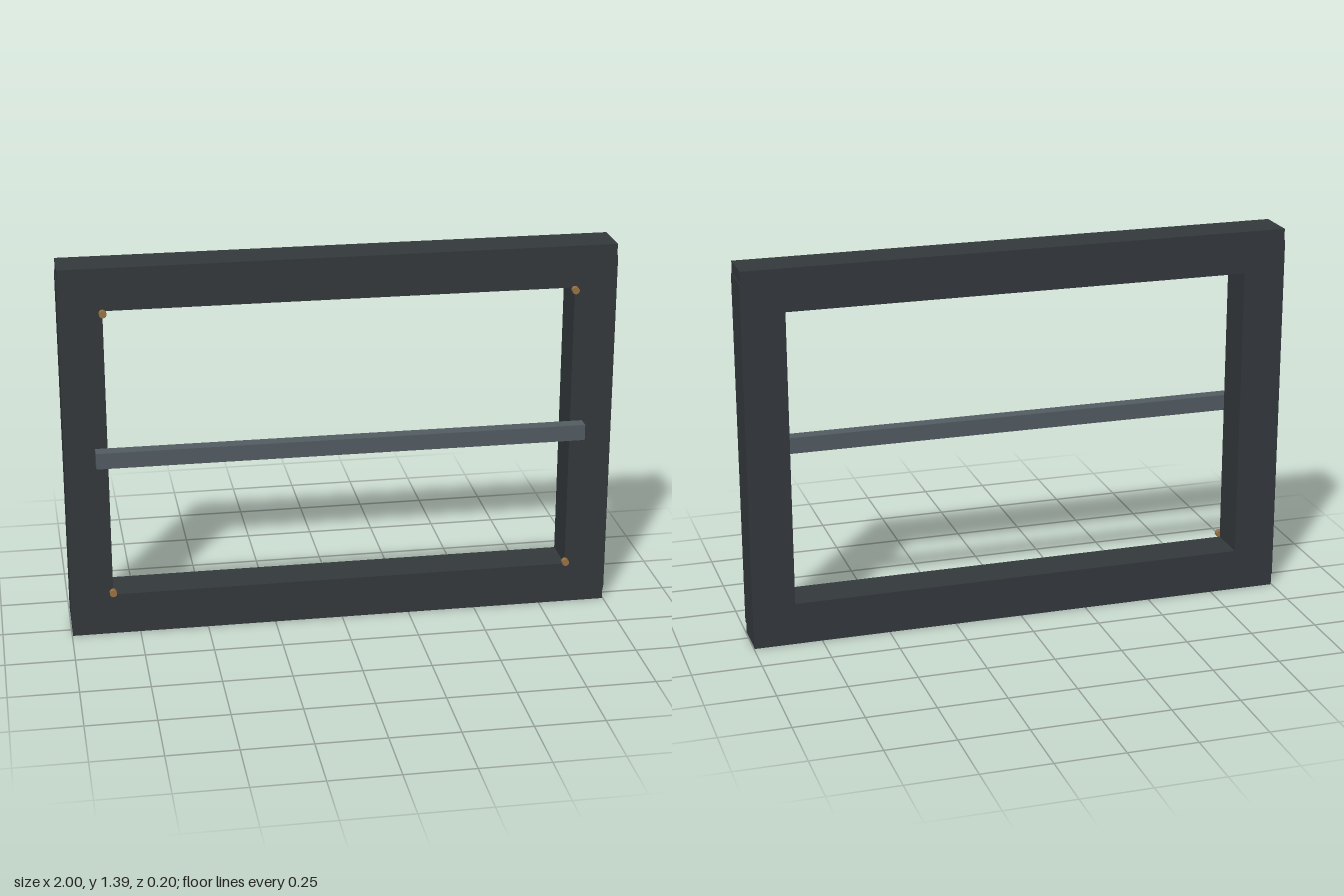
import * as THREE from 'three';

const frameMat = new THREE.MeshStandardMaterial({ color: 0x34393d });
const barMat = new THREE.MeshStandardMaterial({ color: 0x535d63 });
const brassMat = new THREE.MeshStandardMaterial({ color: 0x9a7444 });

// Box given by its lower and upper corners
function box(name, mat, [x0, y0, z0], [x1, y1, z1]) {
  const mesh = new THREE.Mesh(new THREE.BoxGeometry(x1 - x0, y1 - y0, z1 - z0), mat);
  mesh.name = name;
  mesh.position.set((x0 + x1) / 2, (y0 + y1) / 2, (z0 + z1) / 2);
  return mesh;
}

export function createModel() {
  const model = new THREE.Group();
  model.name = 'windowFrame';
  const back = -0.101, front = 0.052, height = 1.393, width = 0.155;

  // Full-width rails at the bottom and top
  model.add(box('bottomRail', frameMat, [-0.997, 0, back], [0.997, width, front]));
  model.add(box('topRail', frameMat, [-0.997, height - width, back], [0.997, height, front]));

  // Side posts, a hair proud of the rail ends
  model.add(box('leftPost', frameMat, [1 - width, 0.043, back], [1, height - 0.043, front]));
  model.add(box('rightPost', frameMat, [-1, 0.043, back], [width - 1, height - 0.043, front]));

  // Crossbar laid over the front of the posts
  model.add(box('crossbar', barMat, [-0.89, 0.668, front], [0.89, 0.727, 0.102]));

  // Small brass studs at the corners of the opening
  const studGeo = new THREE.CylinderGeometry(0.0135, 0.0135, 0.02, 10).rotateX(Math.PI / 2);
  for (const [side, x] of [['Left', 0.845], ['Right', -0.845]]) {
    for (const [level, y] of [['bottom', 0.166], ['top', 1.231]]) {
      const stud = new THREE.Mesh(studGeo, brassMat);
      stud.name = `${level}${side}Stud`;
      stud.position.set(x, y, 0.061);
      model.add(stud);
    }
  }
  return model;
}
